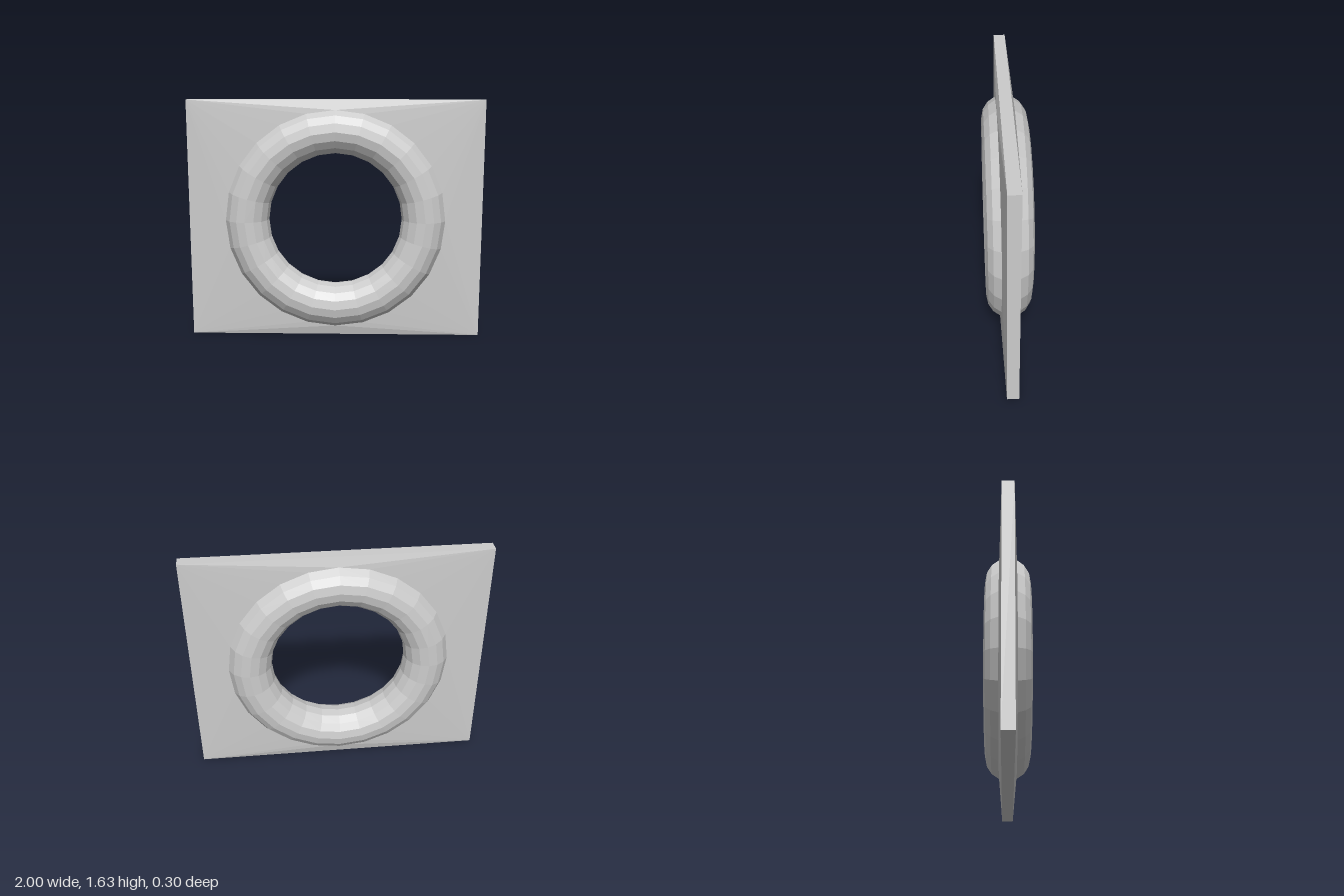
import * as THREE from 'three';

const SEGMENTS = 24;      // divisions around the ring
const SIDES = 16;         // divisions of the ring's round section
const RING_R = 0.608, TUBE_R = 0.152;
const HALF_W = 1, HALF_H = 0.816, HALF_D = 0.04;

// Ring section angle where it meets the panel
const SEAM = (Math.PI * 2) / SIDES;

// Rounded ring, open where the panel joins its outer edge
function ringGeometry() {
  const profile = [];
  for (let i = 1; i < SIDES; i++) {
    const a = i * SEAM;
    profile.push(new THREE.Vector2(RING_R + TUBE_R * Math.cos(a), TUBE_R * Math.sin(a)));
  }
  return new THREE.LatheGeometry(profile, SEGMENTS).rotateX(Math.PI / 2);
}

// Rectangular panel whose faces rise gently from the border to the ring
function panelGeometry() {
  const pos = [];
  const tri = (a, b, c) => pos.push(...a, ...b, ...c);
  const corner = (q, side) => {
    const [sx, sy] = [[1, 1], [-1, 1], [-1, -1], [1, -1]][q % 4];
    return [sx * HALF_W, sy * HALF_H, side * HALF_D];
  };
  const rimR = RING_R + TUBE_R * Math.cos(SEAM);
  const rimZ = TUBE_R * Math.sin(SEAM);
  const rim = (k, side) => {
    const a = (k / SEGMENTS) * Math.PI * 2;
    return [rimR * Math.cos(a), rimR * Math.sin(a), side * rimZ];
  };
  const perQuarter = SEGMENTS / 4;

  for (const side of [1, -1]) {
    const face = (a, b, c) => (side > 0 ? tri(a, b, c) : tri(a, c, b));
    for (let q = 0; q < 4; q++) {
      // fan from the corner to its quarter of the ring
      for (let k = q * perQuarter; k < (q + 1) * perQuarter; k++) {
        face(corner(q, side), rim(k + 1, side), rim(k, side));
      }
      // long triangle along the border
      face(corner(q, side), corner(q + 1, side), rim((q + 1) * perQuarter, side));
    }
  }
  // outer edge strips
  for (let q = 0; q < 4; q++) {
    tri(corner(q, 1), corner(q, -1), corner(q + 1, -1));
    tri(corner(q, 1), corner(q + 1, -1), corner(q + 1, 1));
  }

  const g = new THREE.BufferGeometry();
  g.setAttribute('position', new THREE.Float32BufferAttribute(pos, 3));
  g.computeVertexNormals();
  return g;
}

export function createModel() {
  const group = new THREE.Group();
  group.name = 'ringPanel';
  const material = new THREE.MeshStandardMaterial({ color: 0xcccccc, flatShading: true });
  for (const [name, geometry] of [['panel', panelGeometry()], ['ring', ringGeometry()]]) {
    const mesh = new THREE.Mesh(geometry, material);
    mesh.name = name;
    mesh.position.y = HALF_H;
    group.add(mesh);
  }
  return group;
}
